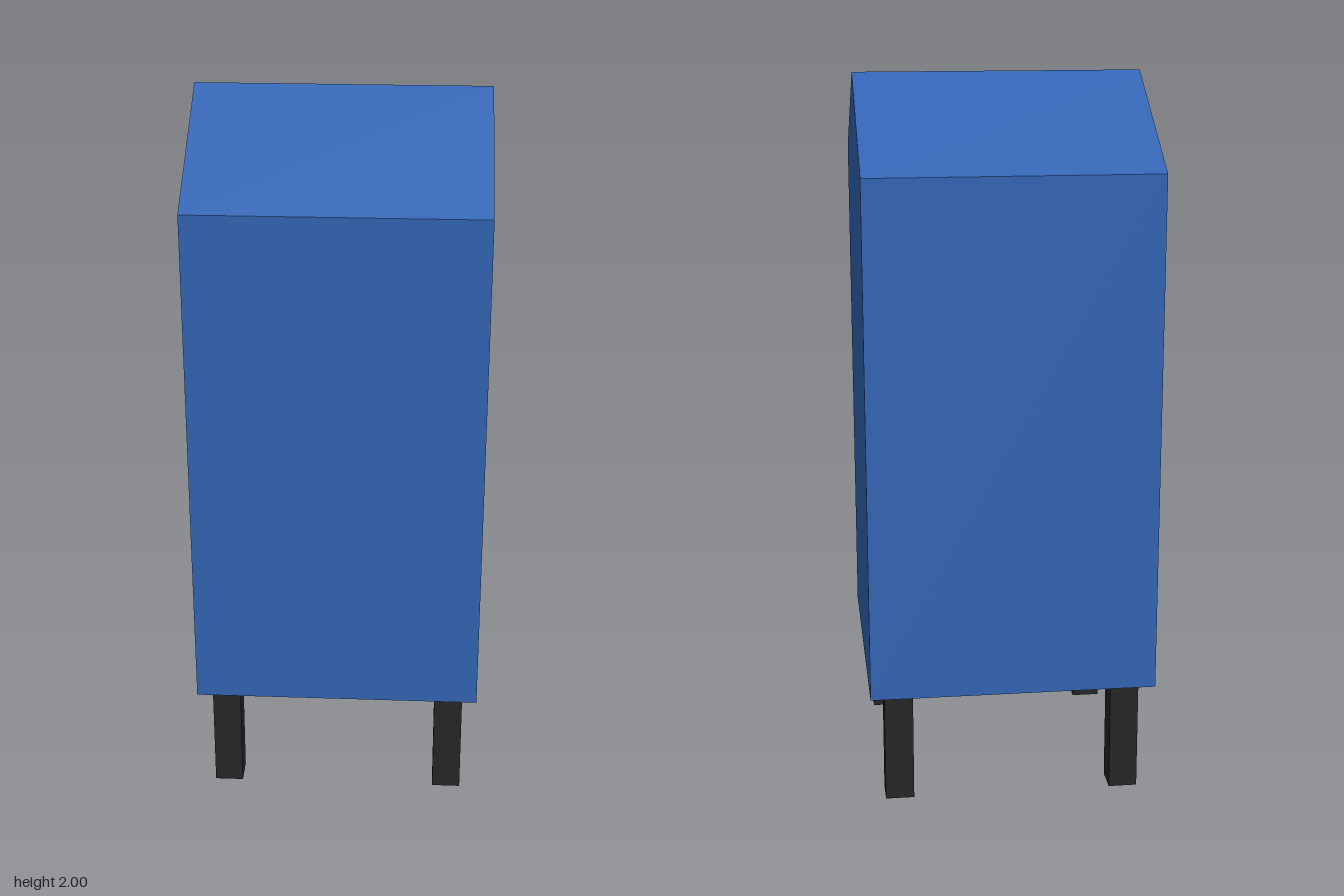
import * as THREE from 'three';

export function createModel() {
  const group = new THREE.Group();
  const blue = new THREE.MeshStandardMaterial({ color: 0x3163b1 });
  blue.name = 'blue paint';
  const black = new THREE.MeshStandardMaterial({ color: 0x252525 });
  black.name = 'black legs';

  const half = 0.4, base = 0.32, eave = 1.76, ridge = 2;

  // Gabled body: end profile extruded along x
  const profile = new THREE.Shape([
    new THREE.Vector2(-half, base),
    new THREE.Vector2(half, base),
    new THREE.Vector2(half, eave),
    new THREE.Vector2(0, ridge),
    new THREE.Vector2(-half, eave),
  ]);
  const bodyGeometry = new THREE.ExtrudeGeometry(profile, { depth: 2 * half, bevelEnabled: false });
  bodyGeometry.translate(0, 0, -half).rotateY(Math.PI / 2);
  const body = new THREE.Mesh(bodyGeometry, blue);
  body.name = 'body';
  group.add(body);

  // Four square legs
  const legGeometry = new THREE.BoxGeometry(0.08, base, 0.08);
  for (const x of [-1, 1]) {
    for (const z of [-1, 1]) {
      const leg = new THREE.Mesh(legGeometry, black);
      leg.name = (z > 0 ? 'front' : 'back') + (x > 0 ? 'Left' : 'Right') + 'Leg';
      leg.position.set(x * 0.32, base / 2, z * 0.32);
      group.add(leg);
    }
  }
  return group;
}
